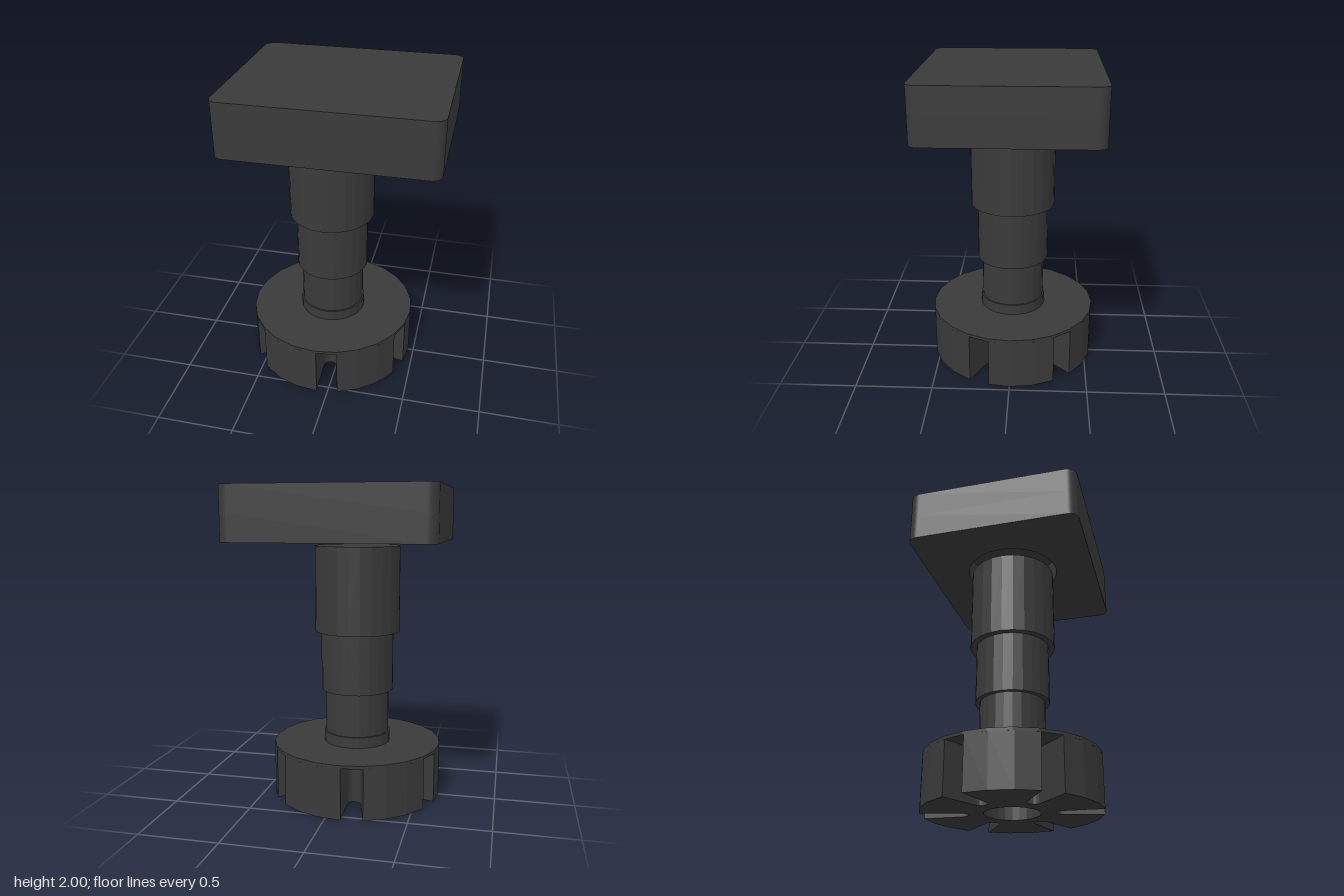
import * as THREE from 'three';

const AXIS_X = -0.085;
const SIDES = 24;

export function createModel() {
  const model = new THREE.Group();
  const dark = new THREE.MeshStandardMaterial({ color: 0x3a3a3a, flatShading: true });

  const add = (name, geometry, x = 0, y = 0) => {
    const mesh = new THREE.Mesh(geometry, dark);
    mesh.name = name;
    mesh.position.set(x, y, 0);
    model.add(mesh);
  };

  // Extrudes a plan shape straight up from its base
  const slab = (shape, depth, curveSegments = 12) =>
    new THREE.ExtrudeGeometry(shape, { depth, bevelEnabled: false, curveSegments }).rotateX(-Math.PI / 2);

  const circle = (r, x = 0) => new THREE.Path().absarc(x, 0, r, 0, Math.PI * 2, true);

  const roundedRect = (w, d, r) => {
    const s = new THREE.Shape();
    s.absarc(w - r, d - r, r, 0, Math.PI / 2);
    s.absarc(-w + r, d - r, r, Math.PI / 2, Math.PI);
    s.absarc(-w + r, -d + r, r, Math.PI, Math.PI * 1.5);
    s.absarc(w - r, -d + r, r, Math.PI * 1.5, Math.PI * 2);
    s.closePath();
    return s;
  };

  // Head block: solid top over a lower layer with a round socket
  const lower = roundedRect(0.65, 0.55, 0.065);
  lower.holes.push(circle(0.3, AXIS_X));
  add('headSocketLayer', slab(lower, 0.17), 0, 1.66);
  add('headTop', slab(roundedRect(0.65, 0.55, 0.065), 0.17), 0, 1.83);

  // Stepped column: radius, bottom, top
  const steps = [
    ['collar', 0.217, 0.345, 0.415],
    ['lowerColumn', 0.207, 0.415, 0.695],
    ['middleColumn', 0.235, 0.695, 1.08],
    ['upperColumn', 0.275, 1.08, 1.63],
  ];
  for (const [name, r, y0, y1] of steps) {
    add(name, new THREE.CylinderGeometry(r, r, y1 - y0, SIDES), AXIS_X, (y0 + y1) / 2);
  }

  // Slotted wheel: six tapering radial slots with rounded inner ends
  const R = 0.548, slotCount = 6, mouth = 0.068, endRadius = 0.043, endAt = 0.3;
  const half = Math.asin(mouth / R);
  const pitch = (Math.PI * 2) / slotCount;
  const points = [];
  for (let i = 0; i < slotCount; i++) {
    const a = -Math.PI / 2 + THREE.MathUtils.degToRad(8.5) + i * pitch;
    const center = new THREE.Vector2(endAt * Math.cos(a), endAt * Math.sin(a));
    for (let k = 0; k <= 8; k++) {
      const t = a - Math.PI / 2 - (k / 8) * Math.PI;
      points.push(new THREE.Vector2(Math.cos(t), Math.sin(t)).multiplyScalar(endRadius).add(center));
    }
    for (let k = 0; k <= 3; k++) {
      const t = a + half + (k / 3) * (pitch - 2 * half);
      points.push(new THREE.Vector2(R * Math.cos(t), R * Math.sin(t)));
    }
  }
  const wheel = new THREE.Shape(points);
  wheel.holes.push(circle(0.17));
  add('slottedWheel', slab(wheel, 0.325), AXIS_X, 0);

  // Thin plate closing the slots from above
  const plate = new THREE.Shape().absarc(0, 0, R, 0, Math.PI * 2);
  plate.holes.push(circle(0.17));
  add('wheelPlate', slab(plate, 0.02, SIDES / 2), AXIS_X, 0.325);

  return model;
}
